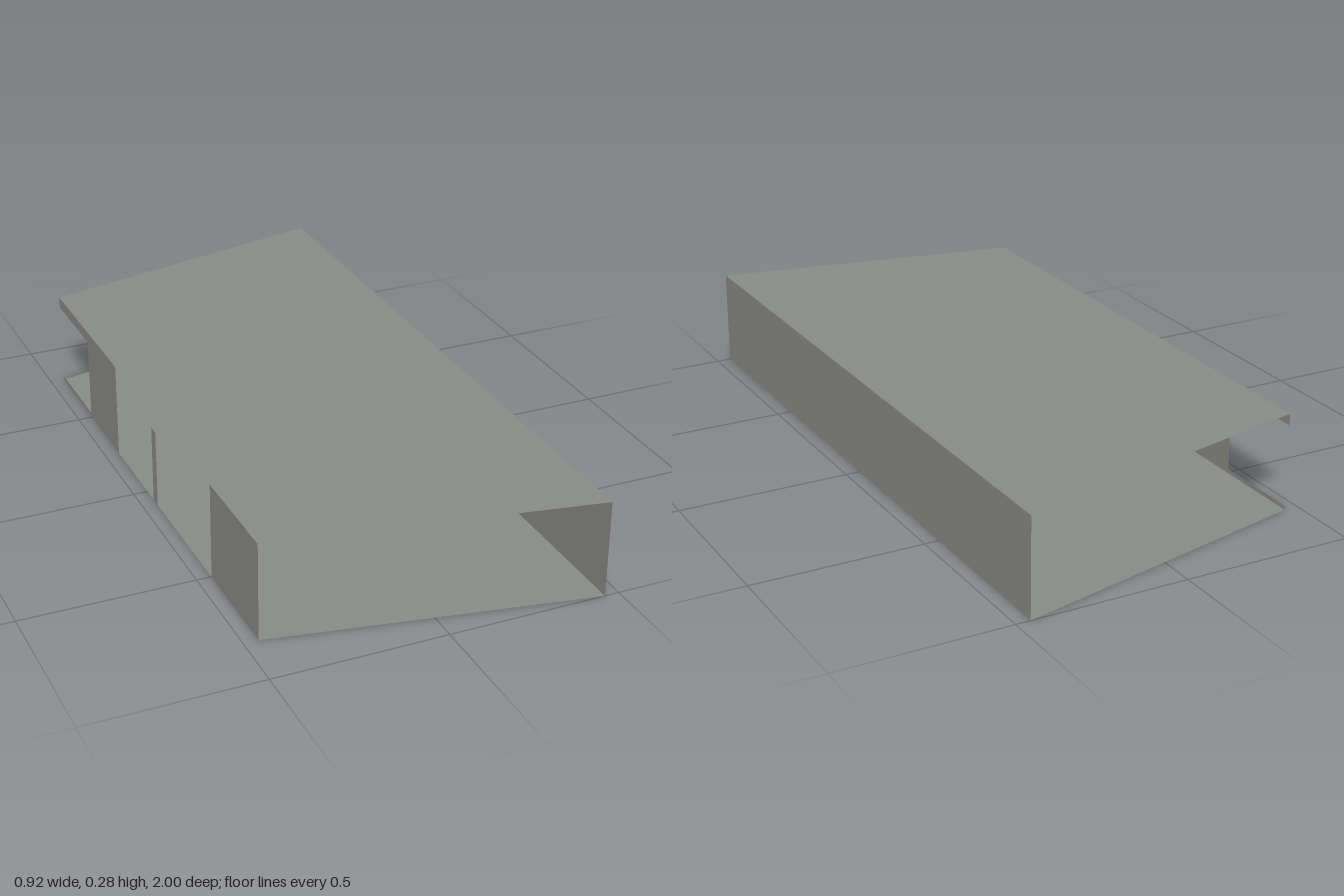
import * as THREE from 'three';

const W = 0.458, H = 0.285;
const BACK = -0.78, FRONT = 0.83; // ends of the shorter, open side

export function createModel() {
  const group = new THREE.Group();
  const grey = new THREE.MeshStandardMaterial({ color: 0x888a85, side: THREE.DoubleSide });
  grey.name = 'grey';

  const add = (name, geometry) => {
    const mesh = new THREE.Mesh(geometry, grey);
    mesh.name = name;
    group.add(mesh);
  };

  // Floor and roof: tapered sheets, drawn in x and z
  const slab = (name, y) => {
    const outline = [[-W, BACK], [W, -1], [W, 1], [-W, FRONT]];
    const shape = new THREE.Shape(outline.map(([x, z]) => new THREE.Vector2(x, z)));
    add(name, new THREE.ShapeGeometry(shape).rotateX(Math.PI / 2).translate(0, y, 0));
  };
  slab('floor', 0);
  slab('roof', H);

  // Upright sheet at a given x, spanning z0..z1 and y0..y1
  const wall = (name, x, z0, z1, y0 = 0, y1 = H) => {
    add(name, new THREE.PlaneGeometry(z1 - z0, y1 - y0)
      .rotateY(Math.sign(x) * Math.PI / 2)
      .translate(x, (y0 + y1) / 2, (z0 + z1) / 2));
  };

  // Solid long wall
  wall('longWall', W, -1, 1);

  // Openings side: two wall panels, a low post, and a lintel and sill at the back
  wall('frontPanel', -W, 0.503, FRONT);
  wall('middlePanel', -W, -0.506, -0.249);
  wall('post', -W, 0.052, 0.085, 0, 0.234);
  wall('lintel', -W, BACK, -0.506, H - 0.034, H);
  wall('sill', -W, BACK, -0.506, 0, 0.012);

  return group;
}
